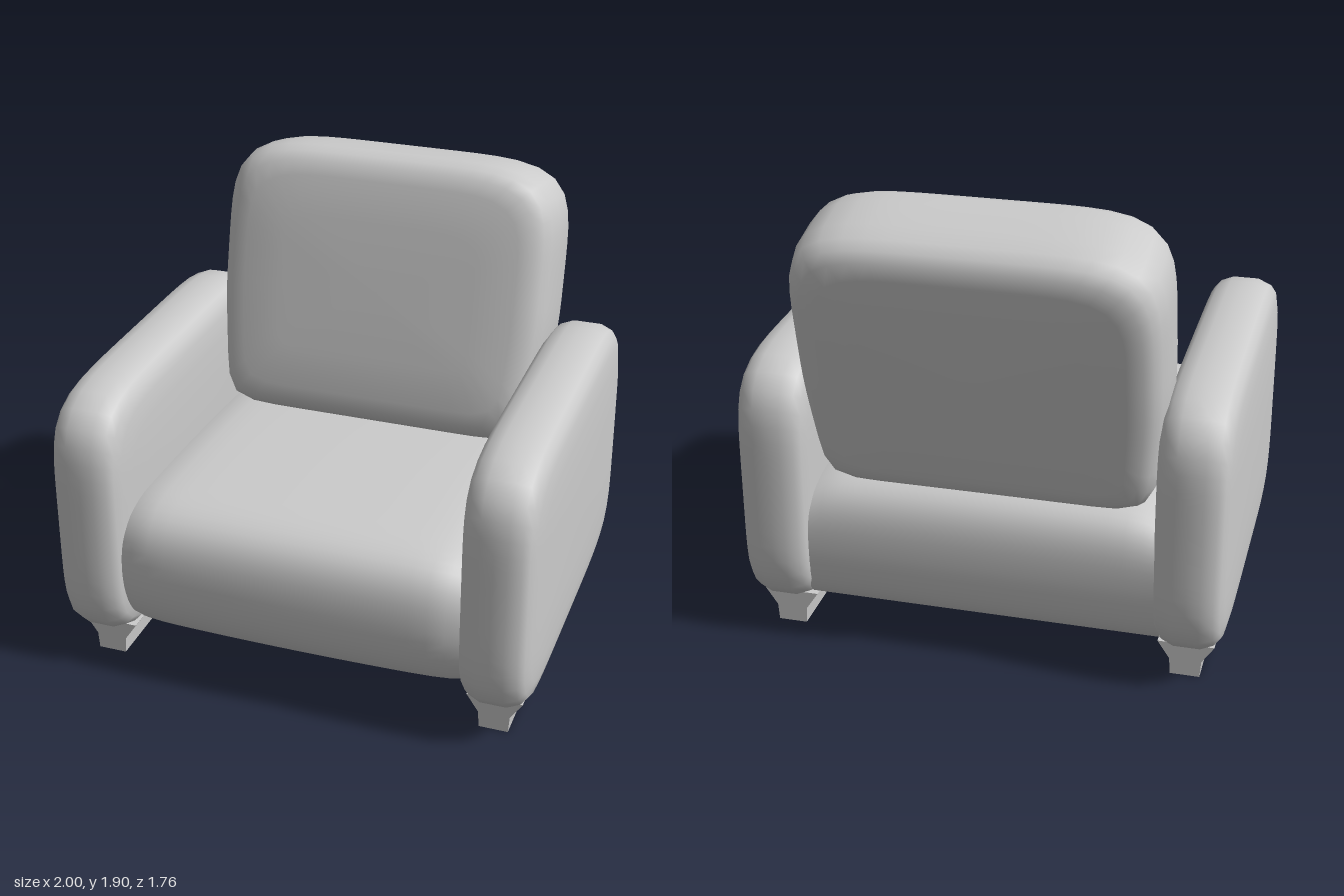
import * as THREE from 'three';
import { mergeVertices, toCreasedNormals } from 'three/addons/utils/BufferGeometryUtils.js';

const material = new THREE.MeshStandardMaterial({ color: 0xcccccc, roughness: 0.8 });

function part(name, geometry) {
  const mesh = new THREE.Mesh(geometry, material);
  mesh.name = name;
  return mesh;
}

// Edge roundings: [fraction of half thickness, inset of the outline]
const armEdge = [[0.35, 0], [0.68, 0.018], [0.84, 0.045], [0.92, 0.095], [0.97, 0.18], [1, 0.34]];
const backEdge = [[0.3, 0], [0.6, 0.012], [0.78, 0.034], [0.89, 0.07], [0.96, 0.13], [1, 0.3]];

// Padded block: squared-oval outline in xy, swollen through its thickness in z.
// a, b, d are the half width, half height and half thickness;
// the powers set how square the upper and lower corners are.
function paddedBlock(a, b, d, edge, upperPower, lowerPower, segments = 64) {
  const rings = [...edge.map(([t, inset]) => [-t, inset]).reverse(), [0, 0], ...edge];
  const positions = [];
  const index = [];
  for (const [t, inset] of rings) {
    for (let j = 0; j < segments; j++) {
      const angle = (j / segments) * Math.PI * 2;
      const c = Math.cos(angle), s = Math.sin(angle);
      const power = s < 0 ? lowerPower : upperPower;
      const r = Math.pow(Math.abs(c) ** power + Math.abs(s) ** power, -1 / power);
      positions.push((a - inset) * r * c, (b - inset) * r * s, t * d);
    }
  }
  for (let i = 0; i < rings.length - 1; i++) {
    for (let j = 0; j < segments; j++) {
      const k = (j + 1) % segments;
      const p = i * segments + j, q = i * segments + k;
      index.push(p, q, q + segments, p, q + segments, p + segments);
    }
  }
  // Close the two broad faces
  const last = (rings.length - 1) * segments;
  const back = rings.length * segments, front = back + 1;
  positions.push(0, 0, -d, 0, 0, d);
  for (let j = 0; j < segments; j++) {
    const k = (j + 1) % segments;
    index.push(back, k, j, front, last + j, last + k);
  }
  const geometry = new THREE.BufferGeometry();
  geometry.setAttribute('position', new THREE.Float32BufferAttribute(positions, 3));
  geometry.setIndex(index);
  geometry.computeVertexNormals();
  return geometry;
}

// Move every vertex by a rule
function reshape(geometry, rule) {
  const pos = geometry.attributes.position;
  const v = new THREE.Vector3();
  for (let i = 0; i < pos.count; i++) {
    rule(v.fromBufferAttribute(pos, i));
    pos.setXYZ(i, v.x, v.y, v.z);
  }
  geometry.computeVertexNormals();
  return geometry;
}

// Seat: side profile (z, y) swept across the width, crowned and bowed out a little
function seatGeometry() {
  const shape = new THREE.Shape();
  shape.moveTo(-0.63, 0.17);
  shape.lineTo(-0.58, 0.2);
  shape.lineTo(0.54, 0.2);
  shape.lineTo(0.67, 0.17);
  shape.bezierCurveTo(0.78, 0.22, 0.85, 0.33, 0.85, 0.49);
  shape.bezierCurveTo(0.85, 0.68, 0.79, 0.765, 0.58, 0.77);
  shape.bezierCurveTo(0.2, 0.77, -0.2, 0.755, -0.52, 0.72);
  shape.bezierCurveTo(-0.67, 0.7, -0.71, 0.62, -0.71, 0.46);
  shape.bezierCurveTo(-0.71, 0.32, -0.69, 0.22, -0.63, 0.17);
  const width = 1.46;
  let geometry = new THREE.ExtrudeGeometry(shape, { depth: width, steps: 20, bevelEnabled: false, curveSegments: 10 });
  geometry.rotateY(-Math.PI / 2);
  geometry.translate(width / 2, 0, 0);
  geometry.deleteAttribute('normal');
  geometry.deleteAttribute('uv');
  geometry = reshape(mergeVertices(geometry), (v) => {
    const across = Math.abs(v.x) / (width / 2);
    const forward = THREE.MathUtils.smoothstep(v.z, 0.2, 0.85);
    const upward = THREE.MathUtils.smoothstep(v.y, 0.4, 0.75);
    v.z += forward * (0.02 * (1 - across ** 2) - 0.035 * across ** 12);
    v.y += upward * (0.014 * (1 - across ** 2) - 0.04 * across ** 12);
  });
  return toCreasedNormals(geometry, 0.7);
}

// Runner: a narrow foot flaring into the underside of an arm
function runnerGeometry() {
  const shape = new THREE.Shape();
  shape.moveTo(-0.06, 0);
  shape.lineTo(0.06, 0);
  shape.lineTo(0.065, 0.07);
  shape.lineTo(0.115, 0.145);
  shape.lineTo(-0.115, 0.145);
  shape.lineTo(-0.065, 0.07);
  const length = 1.34;
  return new THREE.ExtrudeGeometry(shape, { depth: length, bevelEnabled: false }).translate(0, 0, -length / 2);
}

export function createModel() {
  const chair = new THREE.Group();
  chair.name = 'armchair';

  chair.add(part('seat', seatGeometry()));

  // Reclined back cushion, narrowing towards its squarer lower edge
  const back = part('backCushion', reshape(paddedBlock(0.728, 0.595, 0.265, backEdge, 5.6, 11), (v) => {
    v.x *= 1 - 0.05 * THREE.MathUtils.smoothstep(-v.y, 0, 0.59);
  }));
  back.position.set(0, 1.298, -0.525);
  back.rotation.x = -0.235;
  chair.add(back);

  // Padded arms, each on a long runner
  const armGeometry = paddedBlock(0.825, 0.57, 0.155, armEdge, 5.6, 5.6).rotateY(Math.PI / 2);
  const footGeometry = runnerGeometry();
  for (const [side, sign] of [['left', 1], ['right', -1]]) {
    const arm = part(side + 'Arm', armGeometry);
    arm.position.set(sign * 0.845, 0.67, 0.055);
    const runner = part(side + 'Runner', footGeometry);
    runner.position.set(sign * 0.835, 0, 0.05);
    chair.add(arm, runner);
  }
  return chair;
}
